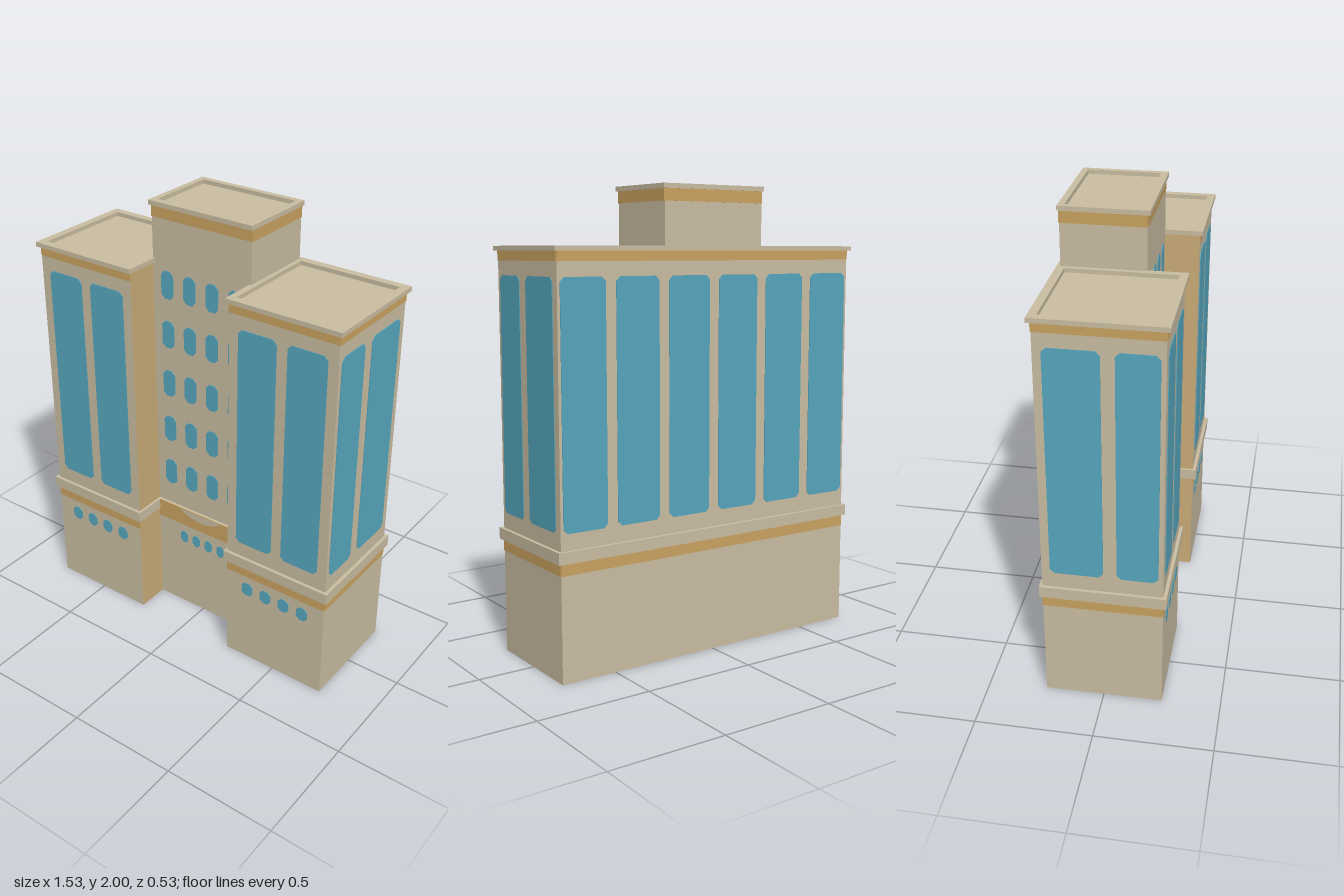
import * as THREE from 'three';

export function createModel() {
  const mat = (name, color) => {
    const m = new THREE.MeshStandardMaterial({ color, side: THREE.DoubleSide });
    m.name = name;
    return m;
  };
  const stone = mat('stone', 0xc9bda2);
  const gold = mat('goldTrim', 0xc9a260);
  const ochre = mat('ochreWall', 0xc9ac77);
  const glass = mat('blueGlass', 0x56a6be);

  const root = new THREE.Group();
  root.name = 'building';

  const add = (parent, name, geo, material, x = 0, y = 0, z = 0) => {
    const m = new THREE.Mesh(geo, material);
    m.name = name;
    m.position.set(x, y, z);
    parent.add(m);
    return m;
  };

  // A wall facing the angle "turn" (0 = front); children use local x along the wall
  const wall = (name, x, z, turn, width, y0, y1, material = stone) => {
    const g = new THREE.Group();
    g.name = name;
    g.position.set(x, 0, z);
    g.rotation.y = turn;
    add(g, name + 'Face', new THREE.PlaneGeometry(width, y1 - y0), material, 0, (y0 + y1) / 2);
    root.add(g);
    return g;
  };

  // Gold stripe straddling a wall
  const stripe = (w, width, y0, y1) =>
    add(w, 'goldStripe', new THREE.BoxGeometry(width, y1 - y0, 0.006), gold, 0, (y0 + y1) / 2);

  // Window pane with clipped corners straddling a wall
  const pane = (w, x, y, width, height, c) => {
    const a = width / 2, b = height / 2;
    const s = new THREE.Shape([
      [-a + c, -b], [a - c, -b], [a, -b + c], [a, b - c],
      [a - c, b], [-a + c, b], [-a, b - c], [-a, -b + c],
    ].map(p => new THREE.Vector2(...p)));
    const geo = new THREE.ExtrudeGeometry(s, { depth: 0.006, bevelEnabled: false });
    add(w, 'window', geo, glass, x, y, -0.003);
  };
  const tallPane = (w, x, width) => pane(w, x, 1.125, width, 1.01, 0.018);

  // Flat slab from a plan outline (x, z)
  const slab = (name, shape, y0, y1) => {
    const geo = new THREE.ExtrudeGeometry(shape, { depth: y1 - y0, bevelEnabled: false, curveSegments: 8 });
    geo.rotateX(Math.PI / 2);
    return add(root, name, geo, stone, 0, y1, 0);
  };
  const rect = (Type, x0, x1, z0, z1) =>
    new Type([[x0, z0], [x1, z0], [x1, z1], [x0, z1]].map(p => new THREE.Vector2(...p)));

  // Raised roof rim around a sunken roof
  const roof = (name, x0, x1, z0, z1, hole, y0, y1) => {
    const s = rect(THREE.Shape, x0, x1, z0, z1);
    s.holes.push(rect(THREE.Path, ...hole));
    slab(name + 'Rim', s, y0, y1);
    const geo = new THREE.PlaneGeometry(hole[1] - hole[0], hole[3] - hole[2]).rotateX(-Math.PI / 2);
    add(root, name, geo, stone, (hole[0] + hole[1]) / 2, y0 + 0.002, (hole[2] + hole[3]) / 2);
  };

  const Q = Math.PI / 2;

  // Wings
  for (const s of [-1, 1]) {
    const side = s > 0 ? 'left' : 'right';
    const front = wall(side + 'WingFront', s * 0.5, 0.25, 0, 0.5, 0, 1.73);
    stripe(front, 0.5, 0.45, 0.5);
    stripe(front, 0.5, 1.69, 1.73);
    for (const u of [-0.115, 0.115]) tallPane(front, u, 0.18);
    for (const u of [-0.142, -0.047, 0.047, 0.142]) pane(front, u, 0.382, 0.055, 0.065, 0.016);

    const outer = wall(side + 'WingSide', s * 0.75, 0, s * Q, 0.5, 0, 1.73);
    stripe(outer, 0.5, 0.45, 0.5);
    stripe(outer, 0.5, 1.69, 1.73);
    tallPane(outer, -s * 0.145, 0.17);
    tallPane(outer, s * 0.105, 0.22);

    wall(side + 'WingInnerSide', s * 0.25, 0.175, -s * Q, 0.15, 0, 1.73, ochre);

    const xs = [s * 0.24, s * 0.765].sort((a, b) => a - b);
    const hs = [s * 0.27, s * 0.73].sort((a, b) => a - b);
    roof(side + 'WingRoof', ...xs, -0.265, 0.265, [...hs, -0.23, 0.23], 1.73, 1.75);

    // Tower side above the wing
    stripe(wall(side + 'TowerSide', s * 0.25, -0.075, s * Q, 0.35, 1.72, 1.98), 0.35, 1.93, 1.98);
  }

  // Central front
  const centre = wall('centreFront', 0, 0.1, 0, 0.5, 0, 1.98);
  stripe(centre, 0.5, 0.45, 0.5);
  stripe(centre, 0.5, 1.93, 1.98);
  for (const u of [-0.176, -0.06, 0.056, 0.172])
    for (const y of [1.642, 1.413, 1.177, 0.948, 0.72]) pane(centre, u, y, 0.063, 0.125, 0.018);
  for (const u of [-0.106, -0.037, 0.032, 0.101]) pane(centre, u, 0.382, 0.04, 0.06, 0.013);

  // Back
  const back = wall('back', 0, -0.25, Math.PI, 1.5, 0, 1.73);
  stripe(back, 1.5, 0.45, 0.5);
  stripe(back, 1.5, 1.69, 1.73);
  for (let i = 0; i < 6; i++) tallPane(back, (i - 2.5) * 0.254, 0.205);
  stripe(wall('towerBack', 0, -0.25, Math.PI, 0.5, 1.72, 1.98), 0.5, 1.93, 1.98);
  add(root, 'backCornice', new THREE.BoxGeometry(0.48, 0.02, 0.016), stone, 0, 1.74, -0.257);

  // Tower roof
  roof('towerRoof', -0.258, 0.258, -0.257, 0.112, [-0.232, 0.232, -0.23, 0.08], 1.98, 2);

  // Ledge around the whole building, slightly bowed at the back
  const plan = new THREE.Shape();
  plan.moveTo(-0.765, -0.262);
  plan.quadraticCurveTo(0, -0.272, 0.765, -0.262);
  for (const p of [[0.765, 0.265], [0.238, 0.265], [0.238, 0.112], [-0.238, 0.112], [-0.238, 0.265], [-0.765, 0.265]])
    plan.lineTo(...p);
  plan.closePath();
  slab('ledge', plan, 0.5, 0.55);

  // Gold face of the central ledge with a pale hanging arch
  add(root, 'goldLedgeFace', new THREE.BoxGeometry(0.476, 0.05, 0.004), gold, 0, 0.525, 0.113);
  const arch = new THREE.Shape();
  arch.moveTo(-0.12, 0.55);
  arch.quadraticCurveTo(0, 0.47, 0.12, 0.55);
  arch.closePath();
  add(root, 'ledgeArch', new THREE.ShapeGeometry(arch), stone, 0, 0, 0.118);

  return root;
}
